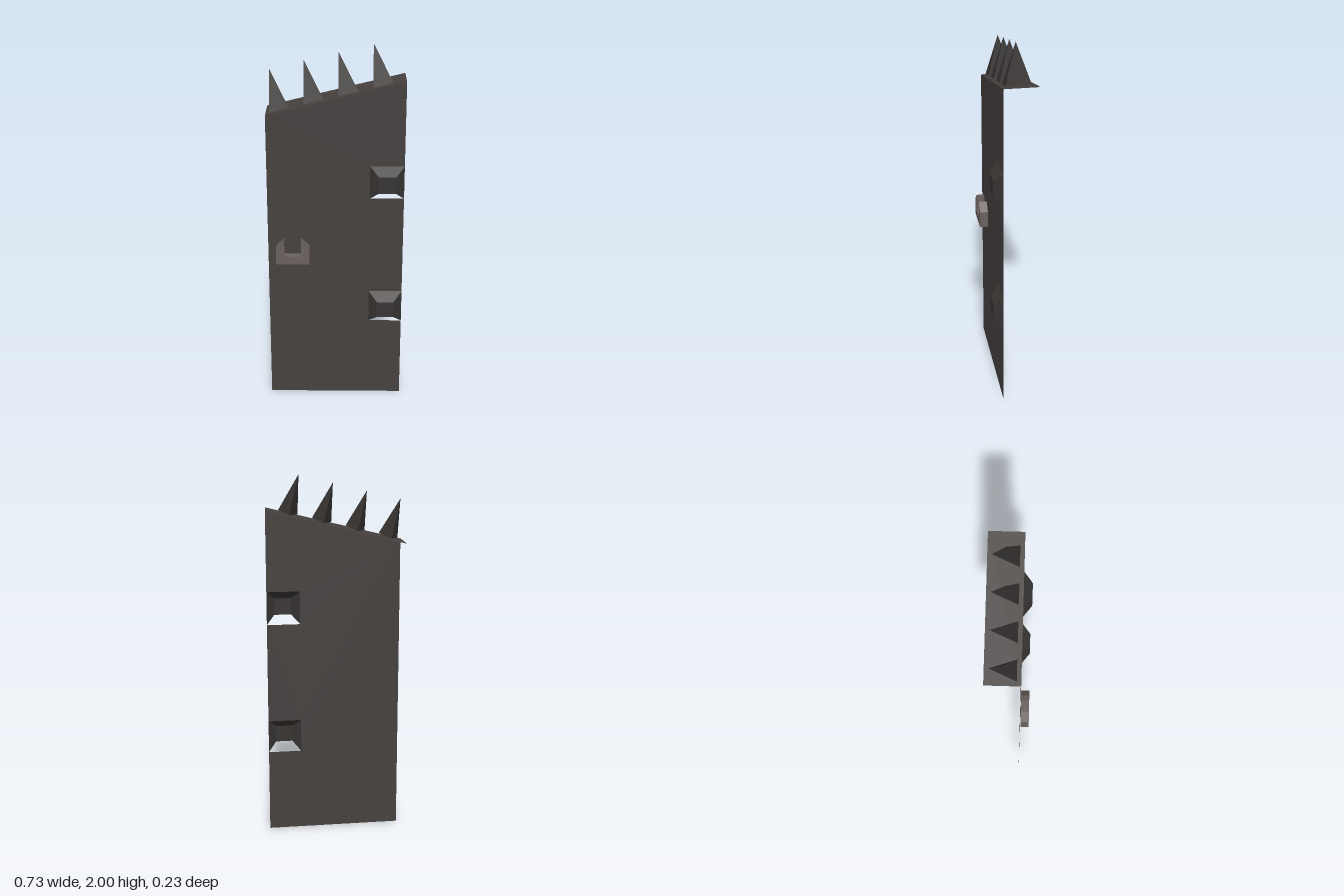
import * as THREE from 'three';

const FRONT = 0.067, BACK = -0.114, HALF = 0.363, DEPTH = 0.047;
const slopeY = (x) => 1.73 + 0.247 * x;

const material = (color) => new THREE.MeshStandardMaterial({
  color, flatShading: true, side: THREE.DoubleSide,
});

// Flat-faced surface from corner points and triangle indices
function faceted(points, index) {
  const indexed = new THREE.BufferGeometry();
  indexed.setAttribute('position', new THREE.Float32BufferAttribute(points.flat(), 3));
  indexed.setIndex(index);
  const geometry = indexed.toNonIndexed();
  geometry.computeVertexNormals();
  return geometry;
}

function outline(points) {
  return new THREE.Shape(points.map(([x, y]) => new THREE.Vector2(x, y)));
}

export function createModel() {
  const model = new THREE.Group();
  const plate = material(0x46413f);
  const dark = material(0x383533);
  const pale = material(0x6a615f);

  function add(name, geometry, mat) {
    const mesh = new THREE.Mesh(geometry, mat);
    mesh.name = name;
    model.add(mesh);
    return mesh;
  }

  // Thin panel with a slanted top and two square notches in its left edge
  const size = 0.181, inner = HALF - size;
  const notches = [0.457, 1.185];
  const edge = [[-HALF, 0], [HALF, 0]];
  for (const y of notches) {
    edge.push([HALF, y], [inner, y], [inner, y + size], [HALF, y + size]);
  }
  edge.push([HALF, slopeY(HALF)], [-HALF, slopeY(-HALF)]);
  const panel = add('panel', new THREE.ShapeGeometry(outline(edge)), plate);
  panel.position.z = FRONT;

  // Slanted ledge running back from the top of the panel
  add('topLedge', faceted([
    [-HALF, slopeY(-HALF), FRONT], [HALF, slopeY(HALF), FRONT],
    [HALF, slopeY(HALF), BACK], [-HALF, slopeY(-HALF), BACK],
  ], [0, 1, 2, 0, 2, 3]), plate);

  // Leaning three-sided spikes along the ledge
  const spike = faceted([
    [0, 0.005, 0.045], [0.102, 0.03, 0.045], [0.057, 0.019, -0.092], [0, 0.22, -0.022],
  ], [0, 1, 3, 1, 2, 3, 2, 0, 3, 0, 2, 1]);
  for (let i = 0; i < 4; i++) {
    const x = -0.342 + i * 0.1785;
    add('spike', spike, dark).position.set(x, slopeY(x), 0);
  }

  // Hollow tapered hoods over the notches, open underneath and behind
  const a = 0.045, b = size - a;
  const hood = faceted([
    [0, 0, 0], [size, 0, 0], [size, size, 0], [0, size, 0],
    [a, a, DEPTH], [b, a, DEPTH], [b, b, DEPTH], [a, b, DEPTH],
  ], [4, 5, 6, 4, 6, 7, 1, 2, 6, 1, 6, 5, 2, 3, 7, 2, 7, 6, 3, 0, 4, 3, 4, 7]);
  for (const y of notches) add('hood', hood, dark).position.set(inner, y, FRONT);

  // U-shaped latch bracket with sloping arm tips
  const latch = outline([
    [-0.319, 0.82], [-0.139, 0.82], [-0.139, 0.912], [-0.184, 0.957],
    [-0.184, 0.865], [-0.274, 0.865], [-0.274, 0.957], [-0.319, 0.912],
  ]);
  const bracket = new THREE.ExtrudeGeometry(latch, { depth: DEPTH - 0.002, bevelEnabled: false });
  add('latchBracket', bracket, pale).position.z = FRONT + 0.002;

  return model;
}
